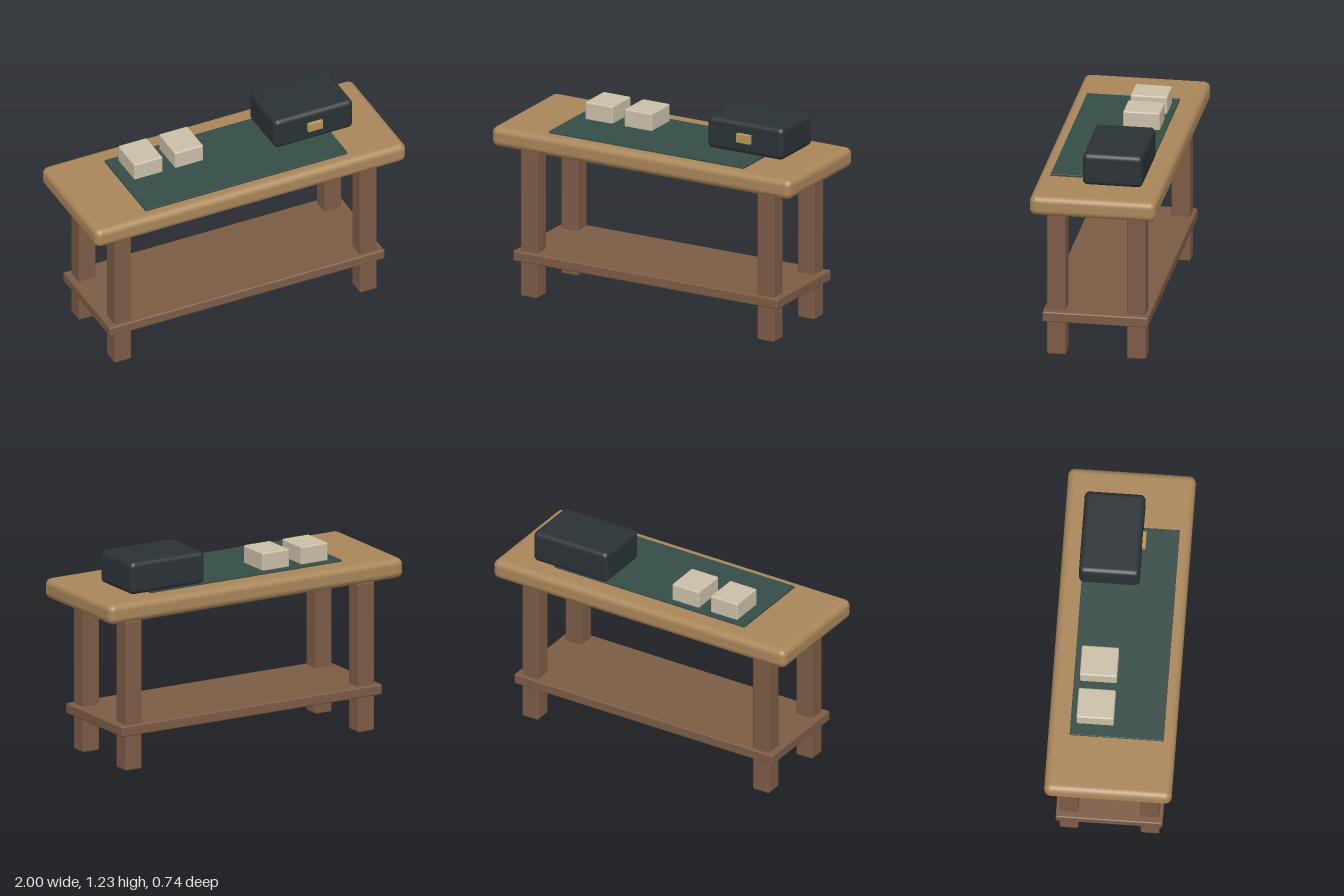
import * as THREE from 'three';
import { RoundedBoxGeometry } from 'three/addons/geometries/RoundedBoxGeometry.js';

const paint = (color) => new THREE.MeshStandardMaterial({ color });

export function createModel() {
  const model = new THREE.Group();
  const oak = paint(0xa9865a);
  const walnut = paint(0x7b5c45);
  const cloth = paint(0x354c46);
  const leather = paint(0x2a3236);
  const cream = paint(0xcabfa8);
  const brass = paint(0xb8955a);

  // Rounded box given by its [min, max] extent along each axis
  function block(name, material, [x0, x1], [y0, y1], [z0, z1], radius, segments = 3) {
    const geometry = new RoundedBoxGeometry(x1 - x0, y1 - y0, z1 - z0, segments, radius);
    const mesh = new THREE.Mesh(geometry, material);
    mesh.name = name;
    mesh.position.set((x0 + x1) / 2, (y0 + y1) / 2, (z0 + z1) / 2);
    model.add(mesh);
  }

  // Table: thick top, four square legs and a low shelf
  block('tableTop', oak, [-1, 1], [0.91, 1.03], [-0.37, 0.37], 0.04, 4);
  for (const [side, x] of [['Left', 0.79], ['Right', -0.79]]) {
    for (const [end, z] of [['front', 0.235], ['back', -0.235]]) {
      block(`${end}${side}Leg`, walnut, [x - 0.055, x + 0.055], [0, 0.895], [z - 0.055, z + 0.055], 0.009);
    }
  }
  block('shelf', walnut, [-0.885, 0.885], [0.213, 0.275], [-0.31, 0.31], 0.009);

  // Thin cloth lying on the top
  block('mat', cloth, [-0.65, 0.65], [1.028, 1.042], [-0.245, 0.3], 0.003, 2);

  // Two small blocks on the mat
  for (const x of [-0.487, -0.225]) {
    block('smallBlock', cream, [x - 0.092, x + 0.092], [1.036, 1.147], [-0.211, 0.005], 0.01);
  }

  // Case with its front clasp
  block('case', leather, [0.285, 0.79], [1.038, 1.232], [-0.26, 0.092], 0.03, 4);
  block('clasp', brass, [0.49, 0.585], [1.11, 1.165], [0.08, 0.113], 0.004, 2);

  return model;
}
